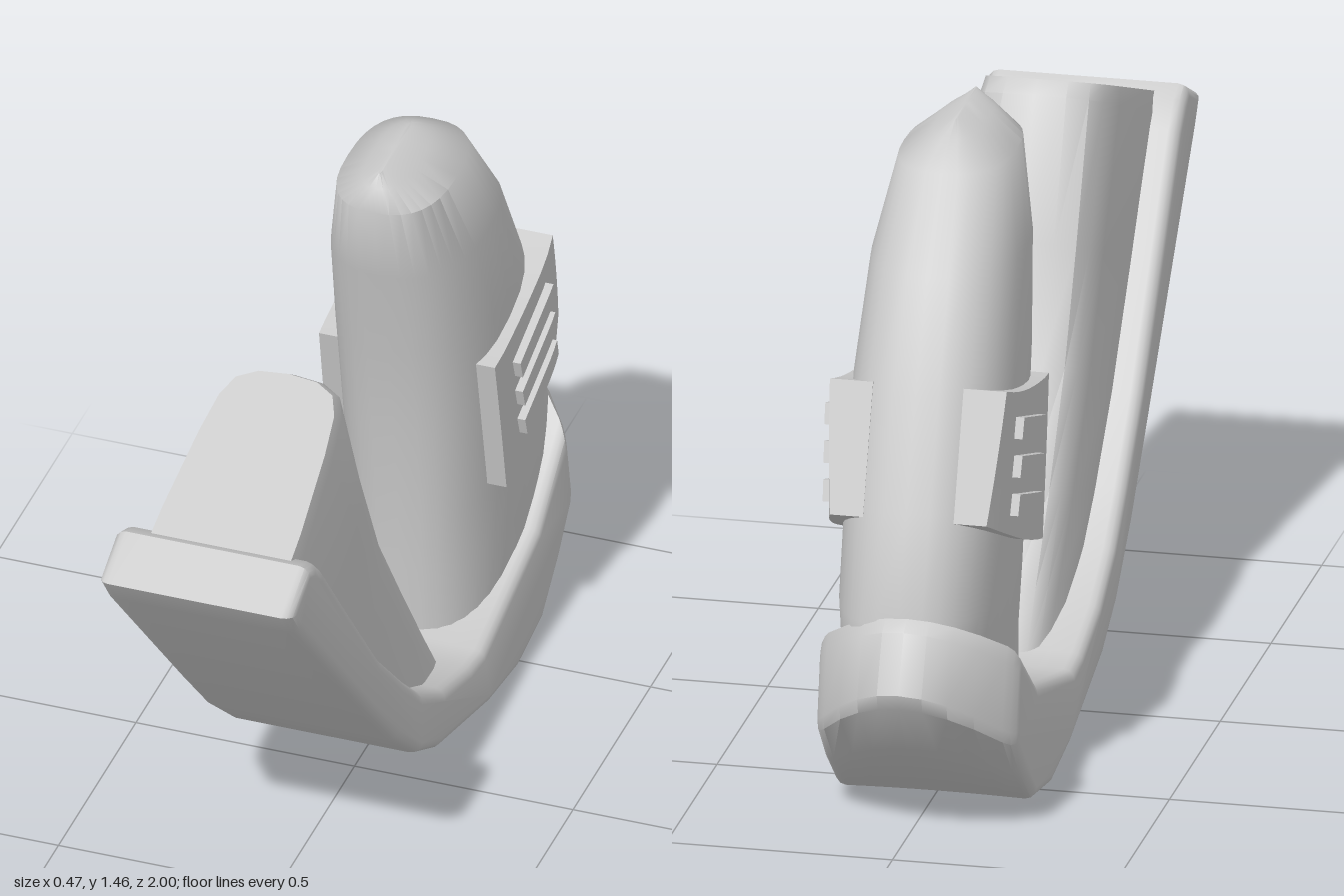
import * as THREE from 'three';
import { toCreasedNormals } from 'three/addons/utils/BufferGeometryUtils.js';

const material = new THREE.MeshStandardMaterial({ color: 0xcccccc });

function addMesh(parent, name, geometry, crease = 0.65) {
  const mesh = new THREE.Mesh(toCreasedNormals(geometry, crease), material);
  mesh.name = name;
  parent.add(mesh);
  return mesh;
}

// Closed skin through rings of equal length, capped at both ends
function loft(rings) {
  const n = rings[0].length, pos = [], idx = [];
  rings.forEach(r => r.forEach(p => pos.push(...p)));
  for (let i = 0; i < rings.length - 1; i++)
    for (let j = 0; j < n; j++) {
      const a = i * n + j, b = i * n + (j + 1) % n;
      idx.push(a, b, b + n, a, b + n, a + n);
    }
  [0, rings.length - 1].forEach(k => {
    const c = pos.length / 3;
    pos.push(...[0, 1, 2].map(d => rings[k].reduce((s, p) => s + p[d], 0) / n));
    for (let j = 0; j < n; j++) {
      const a = k * n + j, b = k * n + (j + 1) % n;
      k ? idx.push(a, b, c) : idx.push(b, a, c);
    }
  });
  // Turn the faces outward if the rings run the other way
  let volume = 0;
  const v = i => new THREE.Vector3(...pos.slice(i * 3, i * 3 + 3));
  for (let i = 0; i < idx.length; i += 3)
    volume += v(idx[i]).dot(v(idx[i + 1]).cross(v(idx[i + 2])));
  if (volume < 0) idx.reverse();
  const g = new THREE.BufferGeometry();
  g.setAttribute('position', new THREE.Float32BufferAttribute(pos, 3));
  g.setIndex(idx);
  return g;
}

// Curved sole: side outline (z, y) extruded across, rounded at the back in plan
function soleGeometry() {
  const outline = [
    [1, 1.07], [0.95, 1.0], [0.48, 0.49], [0.32, 0.32], [0.17, 0.19], [0.04, 0.12],
    [-0.28, 0.03], [-0.47, 0.003], [-0.64, 0.035], [-0.84, 0.2], [-0.99, 0.345],
    [-1, 0.38], [-0.945, 0.505], [-0.91, 0.525], [-0.6, 0.28], [-0.25, 0.19],
    [-0.17, 0.2], [0, 0.25], [0.14, 0.33], [0.25, 0.43], [0.41, 0.59], [0.6, 0.83],
    [0.78, 1.06], [0.83, 1.11], [0.88, 1.13]
  ].map(p => new THREE.Vector2(...p));
  const width = 0.445, bevel = 0.025;
  const g = new THREE.ExtrudeGeometry(new THREE.Shape(outline), {
    depth: width - 2 * bevel, steps: 8, bevelThickness: bevel,
    bevelSize: bevel, bevelOffset: -bevel, bevelSegments: 3
  });
  g.translate(0, 0, -width / 2 + bevel);
  g.rotateY(-Math.PI / 2);
  const p = g.attributes.position;
  for (let i = 0; i < p.count; i++) {
    const z = p.getZ(i);
    const k = THREE.MathUtils.clamp((-z - 0.62) / 0.38, 0, 1);
    const shift = 0.18 * k * (p.getX(i) / 0.22) ** 2;
    p.setZ(i, z + shift);
    p.setY(i, p.getY(i) - 0.78 * shift);
  }
  g.translate(-0.0125, 0, 0);
  return g;
}

// Front wedge: domed sections running from the sole to the inner ridge
function wedgeGeometry() {
  // sole z, sole y, ridge z, ridge y, width scale
  const stations = [
    [0.01, 0.22, -0.21, 0.18, 0.97], [0.1, 0.27, -0.12, 0.32, 0.98],
    [0.25, 0.41, 0, 0.5, 1], [0.42, 0.58, 0.15, 0.73, 1],
    [0.6, 0.81, 0.26, 0.97, 1], [0.82, 1.08, 0.38, 1.265, 1],
    [0.85, 1.12, 0.415, 1.29, 0.96]
  ];
  const half = [[-0.1, 0.168], [0.15, 0.165], [0.6, 0.15], [0.82, 0.137], [0.93, 0.115], [0.985, 0.07]];
  const profile = [...half, [1, 0], ...half.map(([s, x]) => [s, -x]).reverse()];
  return loft(stations.map(([z0, y0, z1, y1, w]) =>
    profile.map(([s, x]) => [x * w - 0.003, y0 + (y1 - y0) * s, z0 + (z1 - z0) * s])));
}

// Rear tower: stacked oblong sections closing to a short ridge
function towerGeometry() {
  // y, front z, back z, half width
  const levels = [
    [0.12, -0.275, -0.7, 0.16], [0.35, -0.262, -0.9, 0.17], [0.5, -0.25, -0.905, 0.178],
    [0.73, -0.225, -0.82, 0.18], [0.97, -0.185, -0.73, 0.178], [1.2, -0.13, -0.61, 0.163],
    [1.39, -0.09, -0.475, 0.125], [1.44, -0.11, -0.39, 0.055], [1.467, -0.13, -0.34, 0.006]
  ];
  const n = 32, e = 2 / 2.6;
  const bend = t => Math.sign(t) * Math.abs(t) ** e;
  return loft(levels.map(([y, zf, zb, w]) => Array.from({ length: n }, (_, i) => {
    const a = i / n * Math.PI * 2;
    return [0.01 + w * bend(Math.sin(a)), y, (zf + zb) / 2 + (zf - zb) / 2 * bend(Math.cos(a))];
  })));
}

// Plate over a four-cornered (z, y) area, bowed to follow the tower's side
const bow = z => 0.203 - 0.75 * Math.max(0, Math.abs(z + 0.48) - 0.12) ** 2;

function plateGeometry([a, b, c, d], raise, sag, side) {
  const g = new THREE.BoxGeometry(1, 1, 1, 1, 6, 8);
  const p = g.attributes.position;
  for (let i = 0; i < p.count; i++) {
    const u = 0.5 - p.getZ(i), v = 0.5 - p.getY(i);
    const mix = k => (a[k] * (1 - u) + b[k] * u) * (1 - v) + (d[k] * (1 - u) + c[k] * u) * v;
    const z = mix(0), y = mix(1) - sag * 4 * u * (1 - u);
    const x = p.getX(i) * side > 0 ? bow(z) + raise : 0.1;
    p.setXYZ(i, 0.01 + side * x, y, z);
  }
  return g;
}

export function createModel() {
  const model = new THREE.Group();
  model.name = 'model';
  addMesh(model, 'sole', soleGeometry());
  addMesh(model, 'frontWedge', wedgeGeometry());
  addMesh(model, 'rearTower', towerGeometry(), 0.8);

  // Matching side panels, each with three raised slats
  for (const [side, name] of [[1, 'left'], [-1, 'right']]) {
    const panel = new THREE.Group();
    panel.name = name + 'Panel';
    const corners = [[-0.31, 0.89], [-0.7, 0.985], [-0.8, 0.71], [-0.38, 0.535]];
    addMesh(panel, name + 'Plate', plateGeometry(corners, 0, 0.013, side));
    for (let i = 0; i < 3; i++) {
      const slat = [[-0.42, 0.835], [-0.635, 0.905], [-0.65, 0.86], [-0.435, 0.79]]
        .map(([z, y]) => [z - 0.015 * i, y - 0.083 * i]);
      addMesh(panel, name + 'Slat', plateGeometry(slat, 0.018, 0, side));
    }
    model.add(panel);
  }
  return model;
}
